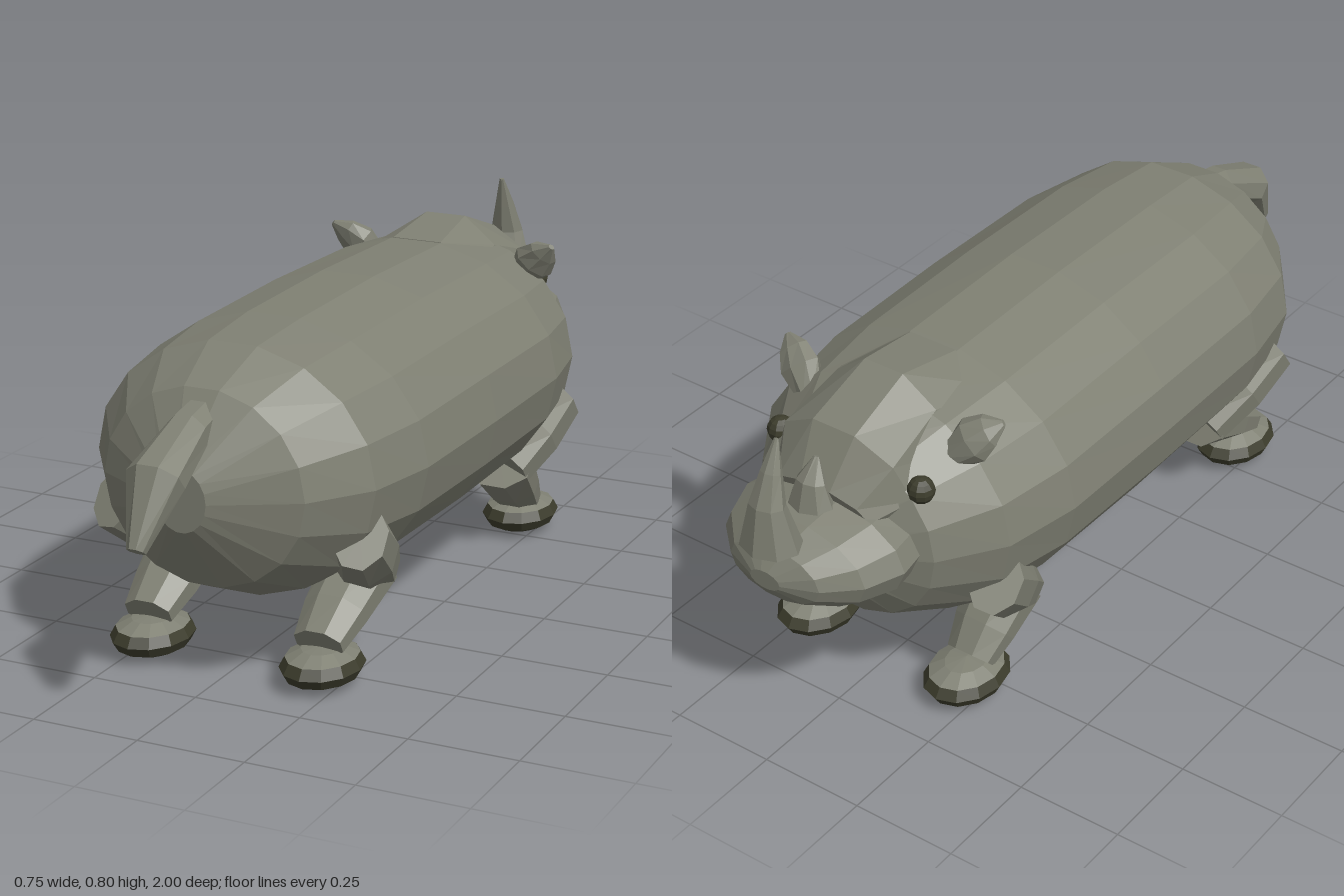
import * as THREE from 'three';

const mat = (name, color) => {
  const m = new THREE.MeshStandardMaterial({ color, flatShading: true });
  m.name = name;
  return m;
};

// Skin of rings along a path; each station is [x, y, z, radiusX, radiusY]
function loft(stations, sides, phase = 0) {
  const pts = stations.map(s => new THREE.Vector3(s[0], s[1], s[2]));
  const pos = [], idx = [];
  const X = new THREE.Vector3(1, 0, 0);
  stations.forEach((s, i) => {
    const a = pts[Math.max(i - 1, 0)], b = pts[Math.min(i + 1, pts.length - 1)];
    const t = b.clone().sub(a).normalize();
    const v = t.clone().cross(X).normalize();
    const u = v.clone().cross(t);
    for (let j = 0; j < sides; j++) {
      const k = phase + j / sides * Math.PI * 2;
      const p = pts[i].clone()
        .addScaledVector(u, Math.cos(k) * s[3])
        .addScaledVector(v, Math.sin(k) * (s[4] ?? s[3]));
      pos.push(p.x, p.y, p.z);
    }
  });
  const last = stations.length - 1;
  for (let i = 0; i < last; i++) {
    for (let j = 0; j < sides; j++) {
      const k = (j + 1) % sides;
      const a = i * sides + j, b = i * sides + k, c = b + sides, d = a + sides;
      idx.push(a, b, c, a, c, d);
    }
  }
  // end caps
  const c0 = pos.length / 3;
  pos.push(...pts[0].toArray(), ...pts[last].toArray());
  for (let j = 0; j < sides; j++) {
    const k = (j + 1) % sides;
    idx.push(c0, k, j, c0 + 1, last * sides + j, last * sides + k);
  }
  const g = new THREE.BufferGeometry();
  g.setAttribute('position', new THREE.Float32BufferAttribute(pos, 3));
  g.setIndex(idx);
  g.computeVertexNormals();
  return g;
}

export function createModel() {
  const root = new THREE.Group();
  const hide = mat('greyHide', 0x7f8073);
  const dark = mat('darkHoof', 0x3c3c2c);
  const add = (name, geo, material = hide) => {
    const m = new THREE.Mesh(geo, material);
    m.name = name;
    root.add(m);
    return m;
  };

  // Barrel body, the same at both ends
  const half = [[0.8, 0.06, 0.07], [0.7, 0.24, 0.222], [0.56, 0.337, 0.285], [0.37, 0.372, 0.3]];
  const ring = (z, [, rx, ry]) => [0, 0.46, z, rx, ry];
  add('body', loft([
    ...half.map(h => ring(-h[0], h)),
    [0, 0.46, 0, 0.375, 0.307],
    ...[...half].reverse().map(h => ring(h[0], h)),
  ], 18));

  // Brow hump, rising from the neck and falling to the face
  add('forehead', loft([
    [0, 0.56, -0.775, 0.13, 0.06],
    [0, 0.59, -0.69, 0.18, 0.145],
    [0, 0.62, -0.535, 0.165, 0.173],
    [0, 0.62, -0.38, 0.2, 0.143],
  ], 10));

  // Broad snout
  add('snout', loft([
    [0, 0.475, -0.967, 0.04, 0.022],
    [0, 0.475, -0.935, 0.12, 0.066],
    [0, 0.475, -0.87, 0.19, 0.1],
    [0, 0.475, -0.78, 0.224, 0.117],
    [0, 0.475, -0.7, 0.21, 0.115],
    [0, 0.475, -0.62, 0.12, 0.08],
  ], 14));

  // Horns
  add('largeHorn', loft([
    [0, 0.556, -0.94, 0.073, 0.06],
    [0, 0.66, -0.944, 0.043, 0.035],
    [0, 0.73, -0.925, 0.025, 0.022],
    [0, 0.8, -0.903, 0.006, 0.004],
  ], 8));
  add('smallHorn', loft([
    [0, 0.57, -0.805, 0.06, 0.045],
    [0, 0.635, -0.803, 0.036, 0.028],
    [0, 0.685, -0.782, 0.006, 0.006],
  ], 8));

  // Tail, bent down at the middle
  add('tail', loft([
    [0, 0.62, 0.68, 0.045, 0.045],
    [0, 0.6, 0.76, 0.048, 0.05],
    [0, 0.54, 0.9, 0.066, 0.055],
    [0, 0.41, 0.985, 0.021, 0.021],
  ], 8, Math.PI / 8));

  for (const s of [1, -1]) {
    const side = s > 0 ? 'left' : 'right';

    // Eye
    const eye = add(side + 'Eye', new THREE.SphereGeometry(0.031, 10, 8), dark);
    eye.position.set(s * 0.19, 0.615, -0.675);

    // Leaf-shaped ear
    add(side + 'Ear', loft([
      [s * 0.19, 0.64, -0.57, 0.03, 0.03],
      [s * 0.235, 0.69, -0.55, 0.052, 0.036],
      [s * 0.265, 0.718, -0.535, 0.038, 0.024],
      [s * 0.292, 0.738, -0.52, 0.008, 0.006],
    ], 8));

    // Legs: hip, knee and ankle as [y, z]
    const legs = [
      ['Front', [0.35, -0.565], [0.215, -0.405], [0.085, -0.54], -0.555],
      ['Hind', [0.35, 0.56], [0.215, 0.37], [0.1, 0.58], 0.56],
    ];
    for (const [end, hip, knee, ankle, hoofZ] of legs) {
      add(side + end + 'Thigh', loft([
        [s * 0.3, ...hip, 0.06, 0.075],
        [s * 0.265, (hip[0] + knee[0]) / 2, (hip[1] + knee[1]) / 2, 0.075, 0.08],
        [s * 0.225, ...knee, 0.075, 0.065],
      ], 8, Math.PI / 8));
      add(side + end + 'Shin', loft([
        [s * 0.215, ...knee, 0.085, 0.07],
        [s * 0.21, knee[0] * 0.4 + ankle[0] * 0.6, knee[1] * 0.4 + ankle[1] * 0.6, 0.075, 0.055],
        [s * 0.21, ...ankle, 0.06, 0.04],
      ], 8, Math.PI / 8));

      // Flattened foot: hide on top, dark hoof around and below
      const split = Math.PI / 3;
      const parts = [
        ['FootTop', 0, split, 2, hide],
        ['Hoof', split, Math.PI - split, 4, dark],
      ];
      for (const [name, start, length, rows, material] of parts) {
        const foot = add(side + end + name,
          new THREE.SphereGeometry(1, 12, rows, 0, Math.PI * 2, start, length), material);
        foot.scale.set(0.09, 0.046, 0.115);
        foot.position.set(s * 0.21, 0.047, hoofZ);
      }
    }
  }
  return root;
}
